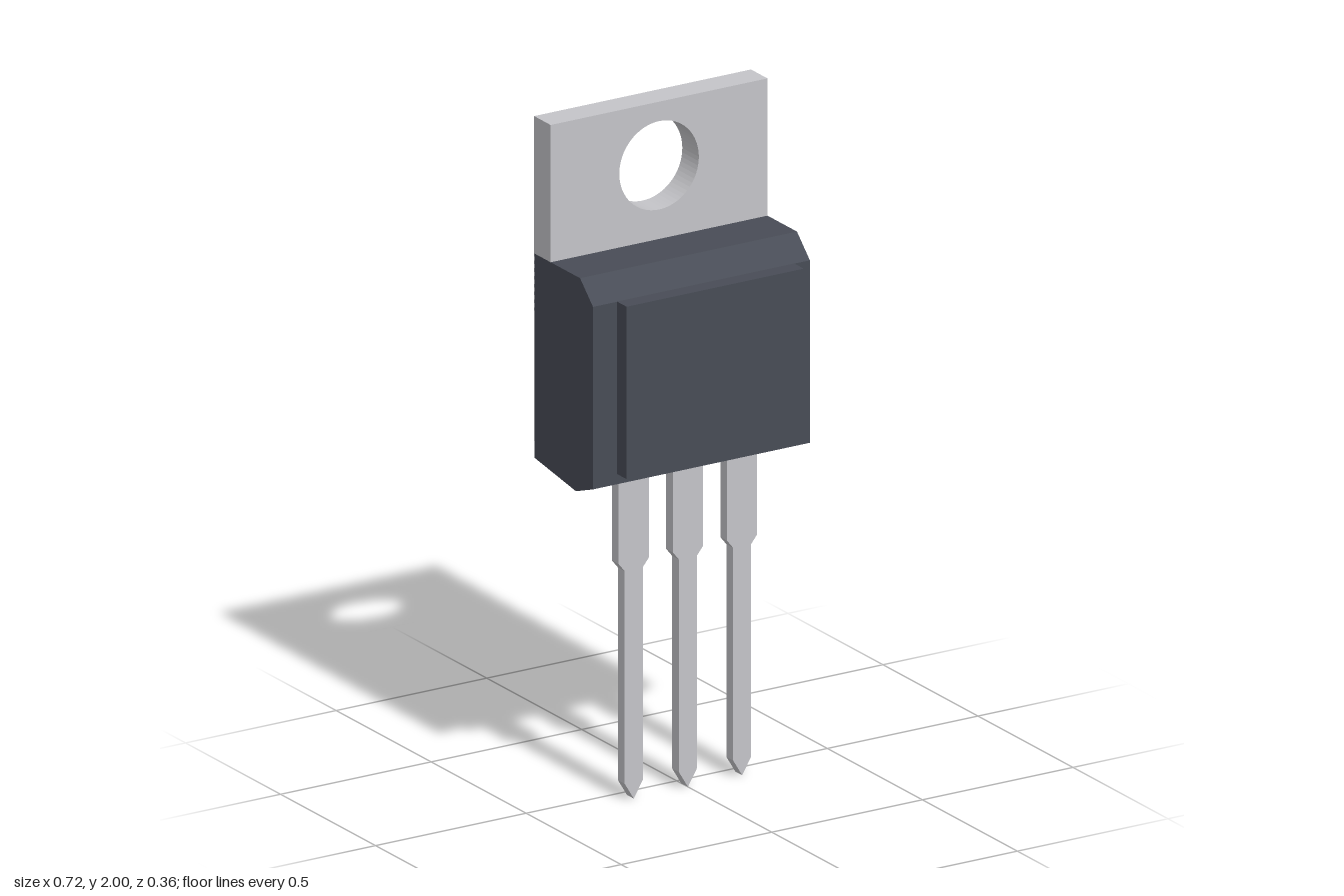
import * as THREE from 'three';

const metal = new THREE.MeshStandardMaterial({ color: 0xc4c4c8 });
metal.name = 'tinned metal';
const plastic = new THREE.MeshStandardMaterial({ color: 0x484c56 });
plastic.name = 'dark plastic';

const HALF_WIDTH = 0.36;
const BACK = -0.18;

function outline(points) {
  return new THREE.Shape(points.map(([a, b]) => new THREE.Vector2(a, b)));
}

function extrude(shape, depth) {
  return new THREE.ExtrudeGeometry(shape, { depth, bevelEnabled: false, curveSegments: 32 });
}

function add(parent, name, geometry, material, x = 0, y = 0, z = 0) {
  const mesh = new THREE.Mesh(geometry, material);
  mesh.name = name;
  mesh.position.set(x, y, z);
  parent.add(mesh);
  return mesh;
}

export function createModel() {
  const model = new THREE.Group();
  model.name = 'powerTransistor';

  // Moulded case: side profile (z, y) swept across the width
  const profile = outline([
    [-0.177, 0.98], [0.04, 0.947], [0.13, 0.98],
    [0.13, 1.525], [0.062, 1.59], [-0.177, 1.59],
  ]);
  const caseGeometry = extrude(profile, 2 * HALF_WIDTH);
  caseGeometry.rotateY(-Math.PI / 2); // profile z -> model z, depth -> -x
  add(model, 'case', caseGeometry, plastic, HALF_WIDTH);

  // Raised front panel, slightly off centre
  add(model, 'frontPanel', new THREE.BoxGeometry(0.588, 0.515, 0.058), plastic, 0.014, 1.268, 0.151);

  // Mounting tab with a round screw hole
  const tab = outline([
    [-HALF_WIDTH, 1.59], [HALF_WIDTH, 1.59], [HALF_WIDTH, 2], [-HALF_WIDTH, 2],
  ]);
  const hole = new THREE.Path();
  hole.absarc(0, 1.81, 0.132, 0, Math.PI * 2, true);
  tab.holes.push(hole);
  add(model, 'mountingTab', extrude(tab, 0.087), metal, 0, 0, BACK);

  // Exposed metal back, continuing the tab downwards
  add(model, 'backPlate', new THREE.BoxGeometry(2 * HALF_WIDTH, 0.56, 0.004), metal, 0, 1.31, BACK + 0.002);

  // Three stepped leads with pointed tips
  const half = [[0.05, 1], [0.05, 0.71], [0.03, 0.685], [0.03, 0.05]];
  const leadShape = outline([
    ...half.map(([x, y]) => [-x, y]),
    [0, 0],
    ...half.slice().reverse(),
  ]);
  const leadGeometry = extrude(leadShape, 0.036);
  ['rightLead', 'middleLead', 'leftLead'].forEach((name, i) => {
    add(model, name, leadGeometry, metal, (i - 1) * 0.18, 0, 0.023);
  });

  return model;
}
